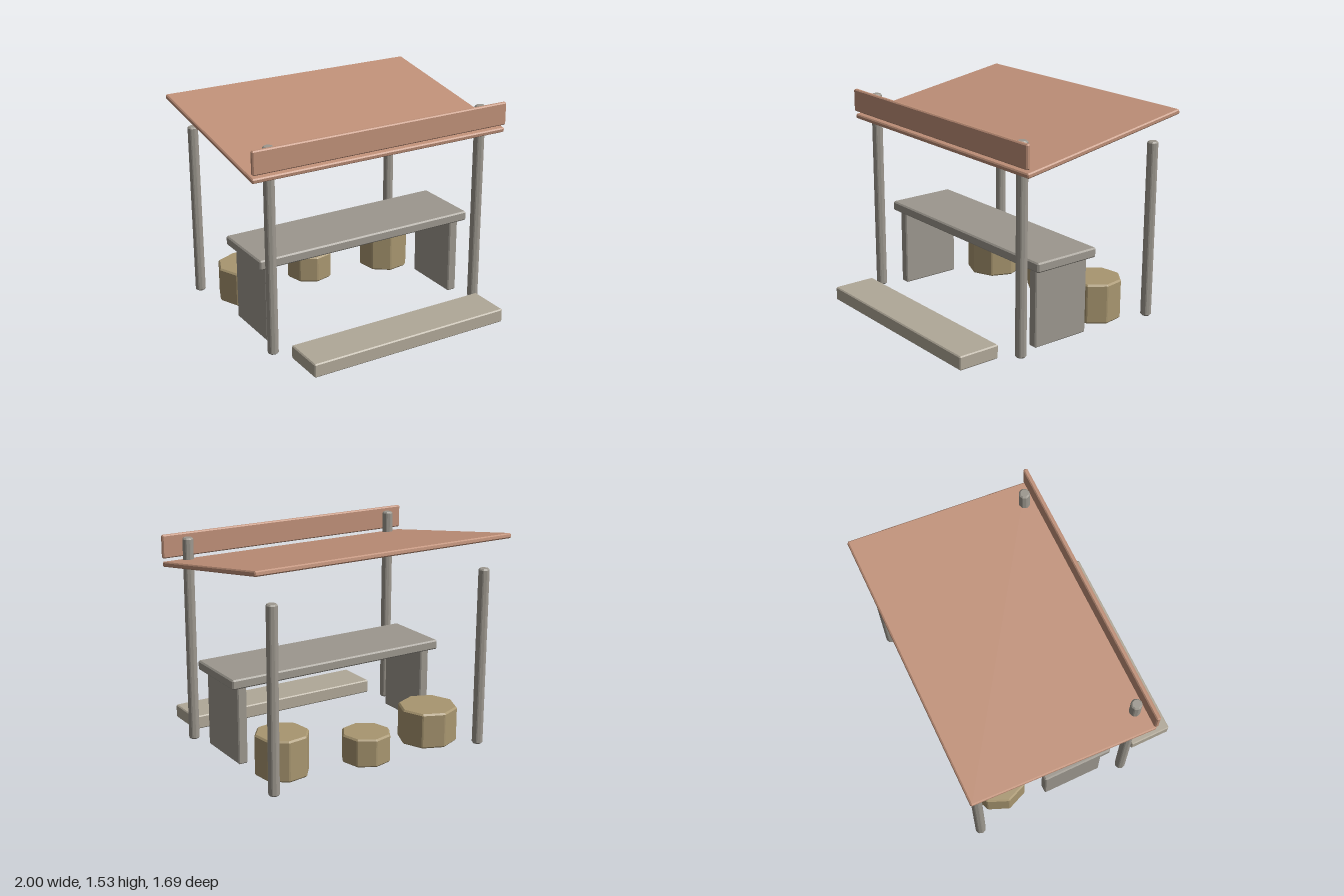
import * as THREE from 'three';
import { ConvexGeometry } from 'three/addons/geometries/ConvexGeometry.js';

const material = (color) => new THREE.MeshStandardMaterial({ color, flatShading: true });

// Box with every edge chamfered by b
function chamferBox(w, h, d, b = 0.008) {
  const pts = [];
  for (const sx of [-1, 1]) for (const sy of [-1, 1]) for (const sz of [-1, 1]) {
    for (let axis = 0; axis < 3; axis++) {
      const inset = [b, b, b];
      inset[axis] = 0;
      pts.push(new THREE.Vector3(
        sx * (w / 2 - inset[0]), sy * (h / 2 - inset[1]), sz * (d / 2 - inset[2])));
    }
  }
  return new ConvexGeometry(pts);
}

// Eight-sided prism standing on y = 0, with chamfered corners and rims
function chamferPrism(radius, height, b, sides = 8) {
  const pts = [];
  const corner = (i, r) => {
    const a = (i / sides) * Math.PI * 2;
    return new THREE.Vector3(Math.cos(a) * r, 0, Math.sin(a) * r);
  };
  const edge = 2 * radius * Math.sin(Math.PI / sides);
  for (let i = 0; i < sides; i++) {
    const cap = corner(i, radius - b);
    pts.push(cap, cap.clone().setY(height));
    for (const j of [i - 1, i + 1]) {
      const p = corner(i, radius).lerp(corner(j, radius), 0.5 * b / edge);
      pts.push(p.clone().setY(b), p.clone().setY(height - b));
    }
  }
  return new ConvexGeometry(pts);
}

export function createModel() {
  const model = new THREE.Group();
  const stone = material(0x9c978e);
  const paleStone = material(0xb0a898);
  const clay = material(0xbf9078);
  const wood = material(0xa89670);

  const add = (name, geometry, mat, x, y, z) => {
    const mesh = new THREE.Mesh(geometry, mat);
    mesh.name = name;
    mesh.position.set(x, y, z);
    model.add(mesh);
    return mesh;
  };

  // Mirrored posts and counter legs
  for (const [side, s] of [['left', 1], ['right', -1]]) {
    add(side + 'FrontPost', chamferPrism(0.04, 1.485, 0.01), stone, s * 0.84, 0, 0.4);
    add(side + 'BackPost', chamferPrism(0.04, 1.29, 0.01), stone, s * 0.84, 0, -0.76);
    add(side + 'CounterLeg', chamferBox(0.07, 0.56, 0.45), stone, s * 0.765, 0.28, 0.015);
  }

  // Counter and front step
  add('counterTop', chamferBox(1.71, 0.07, 0.515, 0.01), stone, 0, 0.597, 0.013);
  add('frontStep', chamferBox(1.54, 0.1, 0.315), paleStone, 0, 0.05, 0.69);

  // Roof rising to the back, with an upright board along the front
  const roof = add('roof', chamferBox(2, 0.035, 1.346), clay, 0, 1.407, -0.18);
  roof.rotation.x = 0.164;
  add('frontBoard', chamferBox(2, 0.165, 0.032), clay, 0, 1.422, 0.48);

  // Stools: x, z, radius, height, turn
  const stools = [
    [-0.583, -0.5, 0.214, 0.26, 0],
    [0, -0.576, 0.177, 0.205, -0.15],
    [0.61, -0.47, 0.191, 0.295, -0.25],
  ];
  stools.forEach(([x, z, r, h, turn], i) => {
    add('stool' + (i + 1), chamferPrism(r, h, 0.012), wood, x, 0, z).rotation.y = turn;
  });

  return model;
}
